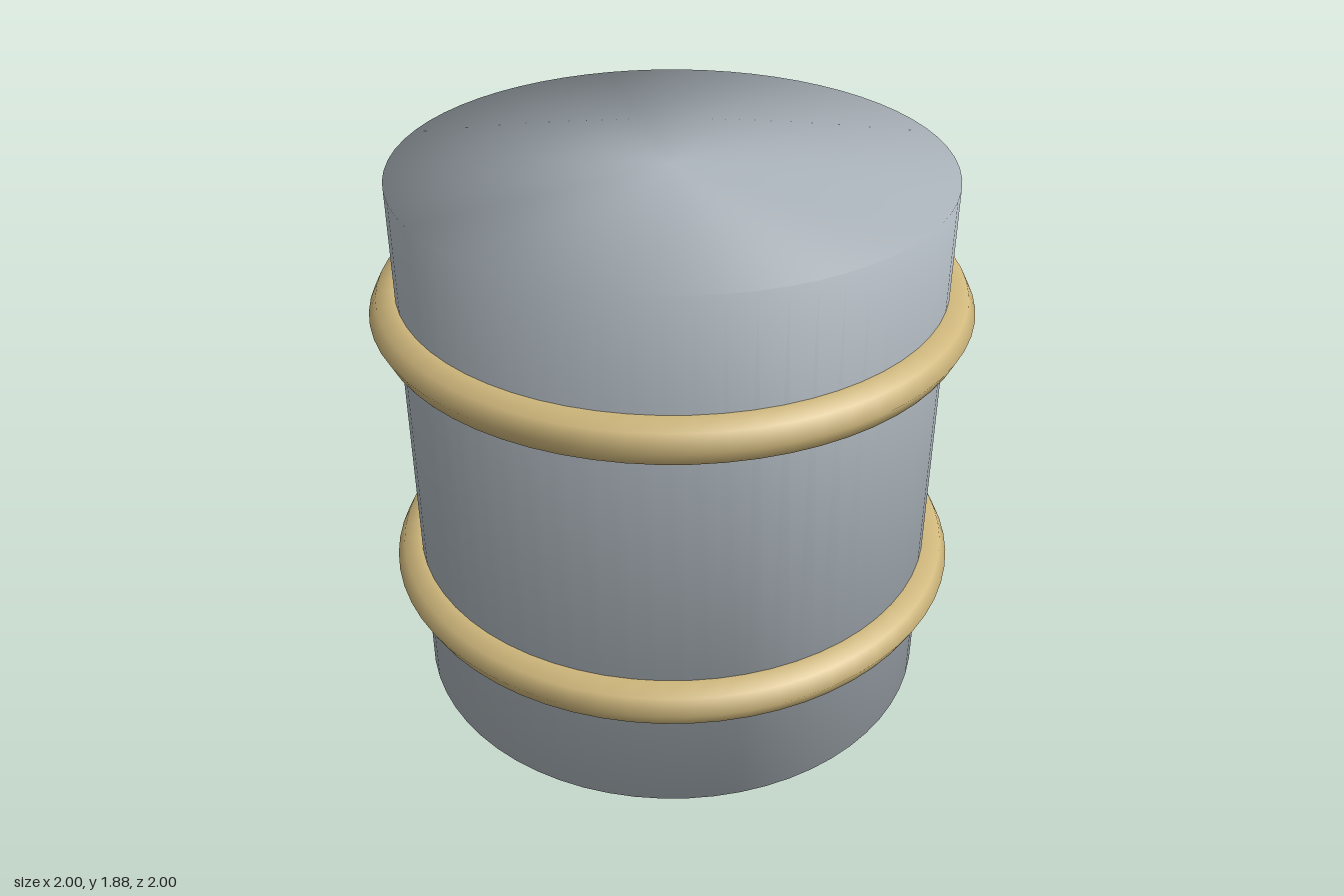
import * as THREE from 'three';

const RADIUS = 0.912;
const HEIGHT = 1.885;

export function createModel() {
  const model = new THREE.Group();
  model.name = 'hoopedDrum';

  const steel = new THREE.MeshStandardMaterial({ color: 0xaeb7be });
  steel.name = 'steel grey';
  const brass = new THREE.MeshStandardMaterial({ color: 0xcfb77c });
  brass.name = 'pale brass';

  // Closed drum body, with normals blended softly over both rims
  const profile = [[0, 0], [RADIUS, 0], [RADIUS, HEIGHT], [0, HEIGHT]]
    .map(([x, y]) => new THREE.Vector2(x, y));
  const body = new THREE.Mesh(new THREE.LatheGeometry(profile, 64), steel);
  body.name = 'drumBody';
  model.add(body);

  // Two slightly flattened hoops, eight-sided in section
  const hoopGeometry = new THREE.TorusGeometry(RADIUS, 0.088, 8, 64);
  hoopGeometry.rotateX(Math.PI / 2);
  hoopGeometry.scale(1, 0.83, 1);
  for (const [name, y] of [['lowerHoop', 0.451], ['upperHoop', 1.437]]) {
    const hoop = new THREE.Mesh(hoopGeometry, brass);
    hoop.name = name;
    hoop.position.y = y;
    model.add(hoop);
  }

  return model;
}
